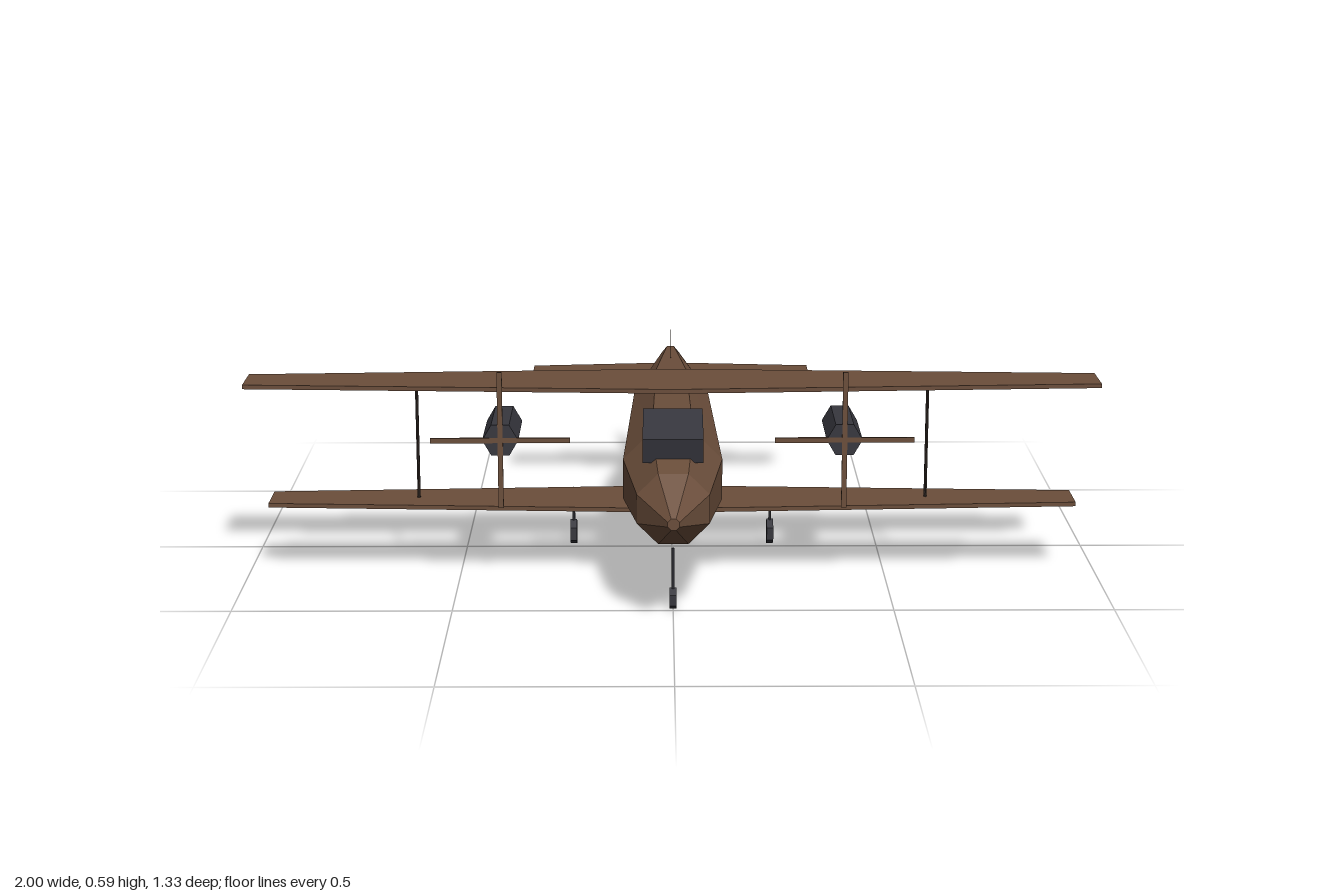
import * as THREE from 'three';

const material = (name, color) =>
  Object.assign(new THREE.MeshStandardMaterial({ color, flatShading: true }), { name });

export function createModel() {
  const model = new THREE.Group();
  const wood = material('brown paint', 0x6b4e3b);
  const metal = material('dark metal', 0x37373e);
  const strutPaint = material('dark strut', 0x2e2622);
  const finPaint = material('fin brown', 0x6b4e3b);
  finPaint.side = THREE.DoubleSide;

  const add = (name, geometry, mat, x = 0, y = 0, z = 0, parent = model) => {
    const mesh = new THREE.Mesh(geometry, mat);
    mesh.name = name;
    mesh.position.set(x, y, z);
    parent.add(mesh);
    return mesh;
  };

  // Fuselage: octagonal rings with flat top and sides, tail to nose
  // [z, centre y, half width, half height]
  const rings = [
    [-0.667, 0.327, 0.022, 0.027],
    [-0.33, 0.271, 0.093, 0.097],
    [0.33, 0.264, 0.114, 0.114],
    [0.565, 0.26, 0.081, 0.081],
    [0.667, 0.254, 0.013, 0.013],
  ];
  const N = 8, points = [], index = [];
  rings.forEach(([z, cy, w, h], i) => {
    for (let k = 0; k < N; k++) {
      const t = ((k + 0.5) / N) * Math.PI * 2, s = 1 / Math.cos(Math.PI / N);
      points.push(Math.cos(t) * w * s, cy + Math.sin(t) * h * s, z);
      if (i < rings.length - 1) {
        const a = i * N + k, b = i * N + ((k + 1) % N);
        index.push(a, b, a + N, b, b + N, a + N);
      }
    }
  });
  const last = (rings.length - 1) * N;
  for (let k = 1; k < N - 1; k++) {
    index.push(0, k + 1, k, last, last + k, last + k + 1);
  }
  const hull = new THREE.BufferGeometry();
  hull.setAttribute('position', new THREE.Float32BufferAttribute(points, 3));
  hull.setIndex(index);
  hull.computeVertexNormals();
  add('fuselage', hull, wood);

  // Tapered wing slab, widest at the centre line
  const wing = (name, span, root, tip, y, z, thick = 0.01) => {
    const shape = new THREE.Shape([
      [0, -root], [span, -tip], [span, tip], [0, root], [-span, tip], [-span, -tip],
    ].map(([px, pz]) => new THREE.Vector2(px, pz)));
    const geo = new THREE.ExtrudeGeometry(shape, { depth: thick, bevelEnabled: false });
    geo.rotateX(Math.PI / 2);
    add(name, geo, wood, 0, y + thick / 2, z);
  };
  wing('upperWing', 1, 0.105, 0.055, 0.455, 0.16);
  wing('lowerWing', 0.95, 0.1, 0.052, 0.168, 0.16);
  wing('tailplane', 0.36, 0.068, 0.033, 0.306, -0.592);

  // Flat tail fin in the z-y plane
  const finShape = new THREE.Shape([
    [0.439, 0.36], [0.647, 0.35], [0.667, 0.588], [0.588, 0.588],
  ].map(([b, y]) => new THREE.Vector2(b, y)));
  add('tailFin', new THREE.ShapeGeometry(finShape).rotateY(Math.PI / 2), finPaint);

  // Cockpit box and the lowered rear ramp
  add('cockpit', new THREE.BoxGeometry(0.136, 0.059, 0.16), metal, 0, 0.388, 0.41).rotation.x = 0.2;
  add('rearRamp', new THREE.BoxGeometry(0.16, 0.006, 0.183), metal, 0, 0.168, -0.484).rotation.x = -0.323;

  // Landing gear leg with a six-sided wheel
  const gear = (name, x, z, r) => {
    const group = new THREE.Group();
    group.name = name;
    group.position.set(x, 0, z);
    model.add(group);
    const wheel = new THREE.CylinderGeometry(r, r, 0.016, 6).rotateY(Math.PI / 6).rotateZ(Math.PI / 2);
    add('wheel', wheel, metal, 0, r + 0.002, 0, group);
    add('leg', new THREE.CylinderGeometry(0.004, 0.004, 0.145 - r, 6), metal, 0, (0.145 + r) / 2, 0, group);
  };
  gear('noseGear', 0, 0.485, 0.025);

  for (const [side, s] of [['left', 1], ['right', -1]]) {
    gear(side + 'MainGear', s * 0.24, -0.025, 0.031);
    add(side + 'WingStrut', new THREE.CylinderGeometry(0.004, 0.004, 0.287, 6), strutPaint, s * 0.6, 0.3115, 0.16);

    // Six-sided engine with a four-bladed propeller
    const engine = new THREE.CylinderGeometry(0.042, 0.042, 0.187, 6).rotateY(Math.PI / 6).rotateX(Math.PI / 2);
    add(side + 'Engine', engine, metal, s * 0.4, 0.337, 0.163);
    const propeller = new THREE.Group();
    propeller.name = side + 'Propeller';
    propeller.position.set(s * 0.4, 0.337, 0.257);
    model.add(propeller);
    add('bladePairAcross', new THREE.BoxGeometry(0.324, 0.012, 0.005), wood, 0, 0, 0, propeller);
    add('bladePairUpright', new THREE.BoxGeometry(0.012, 0.324, 0.005), wood, 0, 0, 0, propeller);
  }

  return model;
}
